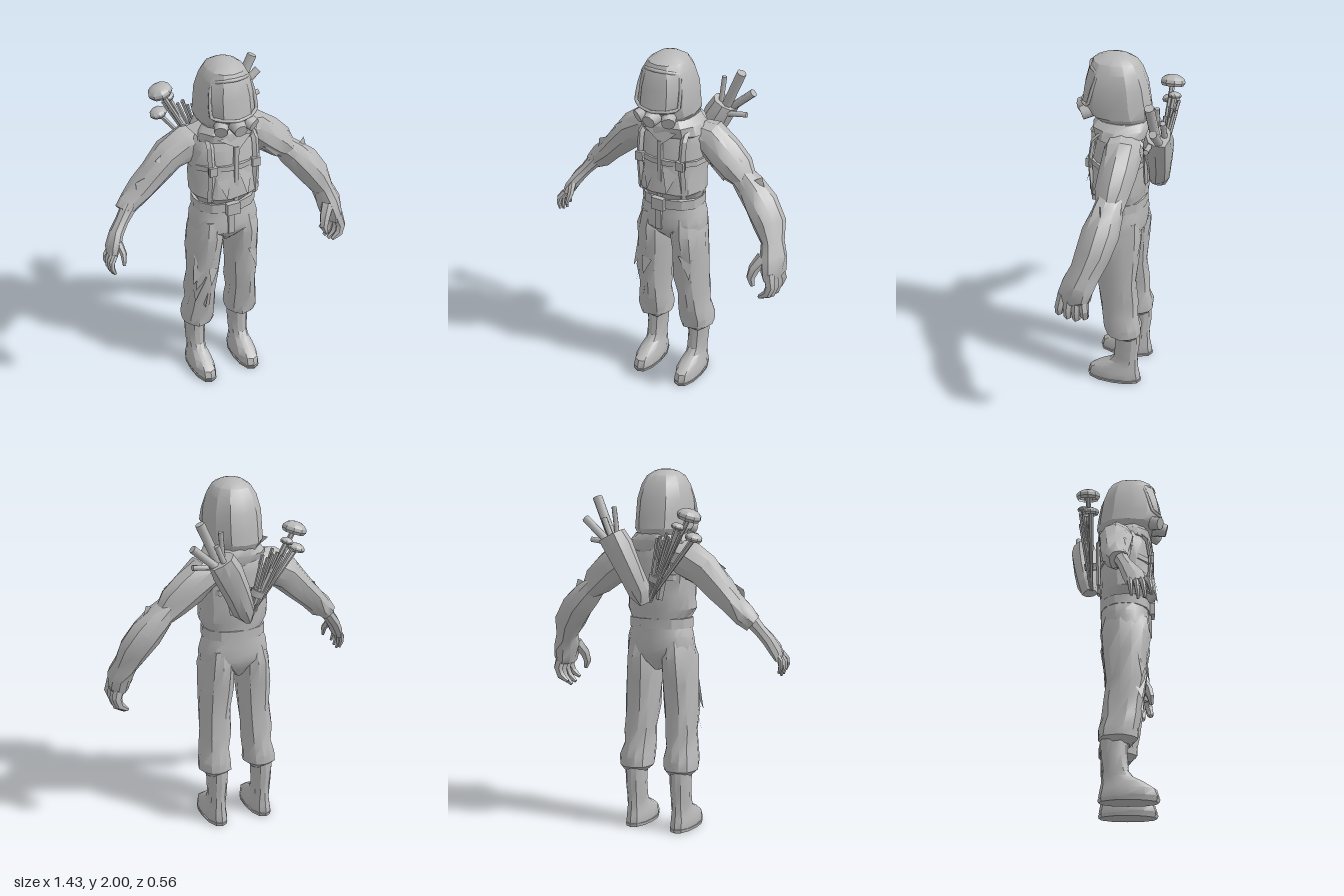
import * as THREE from 'three';
import { toCreasedNormals } from 'three/addons/utils/BufferGeometryUtils.js';

const grey = new THREE.MeshStandardMaterial({ color: 0xb8b8b8, side: THREE.DoubleSide });
grey.name = 'plain grey';
const V = (p) => new THREE.Vector3(...p);

// repeatable small offset for cloth folds
const noise = (i, j) => {
  const s = Math.sin(i * 12.99 + j * 78.23) * 43758.5;
  return (s - Math.floor(s)) * 2 - 1;
};

// skin through cross-sections [x, y, z, a, b]; b runs along the ref axis, a across it
function loft(sections, { sides = 10, flat = false, power = 2, wrinkle = 0, ref = [0, 0, 1] } = {}) {
  const pos = [], idx = [], n = sections.length;
  const c = sections.map((s) => V(s.slice(0, 3)));
  c.forEach((p, i) => {
    const t = c[Math.min(i + 1, n - 1)].clone().sub(c[Math.max(i - 1, 0)]);
    if (flat) t.set(0, Math.sign(t.y), 0);
    t.normalize();
    const u = V(ref).addScaledVector(t, -V(ref).dot(t)).normalize();
    const v = t.clone().cross(u);
    for (let j = 0; j < sides; j++) {
      const q = (j / sides) * Math.PI * 2, cs = Math.cos(q), sn = Math.sin(q);
      const k = 1 / Math.pow(Math.abs(cs) ** power + Math.abs(sn) ** power, 1 / power);
      const w = wrinkle * noise(i, j);
      const r = p.clone().addScaledVector(v, cs * k * (sections[i][3] + w)).addScaledVector(u, sn * k * (sections[i][4] + w));
      pos.push(r.x, r.y, r.z);
    }
  });
  for (let i = 0; i < n - 1; i++) for (let j = 0; j < sides; j++) {
    const a = i * sides + j, b = i * sides + ((j + 1) % sides);
    idx.push(a, a + sides, b, b, a + sides, b + sides);
  }
  pos.push(...c[0].toArray(), ...c[n - 1].toArray());
  for (let j = 0; j < sides; j++) {
    const k = (j + 1) % sides, e = (n - 1) * sides;
    idx.push(n * sides, j, k, n * sides + 1, e + k, e + j);
  }
  const g = new THREE.BufferGeometry();
  g.setAttribute('position', new THREE.Float32BufferAttribute(pos, 3));
  g.setIndex(idx);
  return toCreasedNormals(g, 0.5);
}

// level rings given as [y, centre x, back z, front z, half width]
const rings = (rows, opts) =>
  loft(rows.map(([y, x, z0, z1, w]) => [x, y, (z0 + z1) / 2, w, (z1 - z0) / 2]), { flat: true, power: 2.3, sides: 14, ...opts });

// rod between two points
function rod(a, b, r0, r1 = r0, sides = 7) {
  const d = V(b).sub(V(a));
  const g = new THREE.CylinderGeometry(r1, r0, d.length(), sides);
  g.applyQuaternion(new THREE.Quaternion().setFromUnitVectors(V([0, 1, 0]), d.clone().normalize()));
  g.translate(...V(a).addScaledVector(d, 0.5).toArray());
  return toCreasedNormals(g, 0.9);
}

const box = (w, h, d, x, y, z) => new THREE.BoxGeometry(w, h, d).translate(x, y, z);

// torn scrap of cloth
function flap(a, b, c) {
  const g = new THREE.BufferGeometry();
  g.setAttribute('position', new THREE.Float32BufferAttribute([...a, ...b, ...c], 3));
  g.computeVertexNormals();
  return g;
}

export function createModel() {
  const model = new THREE.Group();
  const add = (name, geo) => {
    const m = new THREE.Mesh(geo, grey);
    m.name = name;
    model.add(m);
  };

  // helmet, visor frame and breathing mask
  add('helmet', rings([[1.62, -0.01, -0.1, 0.14, 0.11], [1.68, -0.01, -0.128, 0.22, 0.148], [1.74, -0.01, -0.122, 0.252, 0.15],
    [1.84, -0.01, -0.105, 0.235, 0.145], [1.92, -0.01, -0.075, 0.213, 0.124], [1.965, -0.01, -0.045, 0.19, 0.098],
    [1.99, -0.01, 0, 0.14, 0.06], [2, -0.01, 0.03, 0.1, 0.03]], { sides: 12 }));
  const frame = [[-0.115, 1.915, 0.14], [-0.07, 1.935, 0.185], [-0.01, 1.94, 0.205], [0.05, 1.935, 0.185], [0.095, 1.915, 0.14],
    [0.115, 1.83, 0.165], [0.118, 1.745, 0.19], [0.06, 1.735, 0.235], [-0.01, 1.73, 0.25], [-0.08, 1.735, 0.235], [-0.138, 1.745, 0.19], [-0.135, 1.83, 0.165]];
  add('visorFrame', new THREE.TubeGeometry(new THREE.CatmullRomCurve3(frame.map(V), true, 'catmullrom', 0.2), 36, 0.01, 5, true));
  add('maskSnout', rod([-0.01, 1.7, 0.2], [-0.01, 1.68, 0.275], 0.05, 0.036, 9));
  for (const s of [-1, 1]) {
    add('maskFilter', rod([-0.01 + s * 0.06, 1.7, 0.17], [-0.01 + s * 0.095, 1.675, 0.235], 0.042, 0.036, 9));
  }

  // jacket
  add('jacket', rings([[1.13, 0, -0.1, 0.16, 0.165], [1.19, 0, -0.1, 0.165, 0.165], [1.24, 0, -0.11, 0.205, 0.192], [1.33, 0, -0.112, 0.195, 0.188],
    [1.42, 0, -0.112, 0.187, 0.194], [1.52, 0, -0.115, 0.17, 0.2], [1.58, 0, -0.112, 0.155, 0.185], [1.63, 0, -0.1, 0.14, 0.14],
    [1.67, 0, -0.08, 0.12, 0.1]], { wrinkle: 0.009, sides: 18 }));
  add('collar', rings([[1.54, 0.01, -0.1, 0.15, 0.13], [1.57, 0.005, -0.12, 0.185, 0.18], [1.62, 0, -0.122, 0.185, 0.168],
    [1.655, -0.005, -0.11, 0.16, 0.135]], { wrinkle: 0.01 }));
  add('collarPoint', flap([-0.1, 1.6, 0.18], [0.1, 1.6, 0.18], [0.02, 1.53, 0.2]));
  add('collarTear', flap([-0.13, 1.68, 0.06], [-0.15, 1.57, 0.1], [-0.22, 1.65, 0.05]));
  add('zipFlap', box(0.025, 0.33, 0.02, 0.005, 1.38, 0.19));

  // belt and harness
  add('belt', rings([[1.135, 0, -0.105, 0.178, 0.177], [1.19, 0, -0.105, 0.178, 0.177]]));
  add('buckle', box(0.075, 0.07, 0.03, -0.01, 1.162, 0.185));
  add('chestStrap', rings([[1.405, 0, -0.118, 0.196, 0.2], [1.435, 0, -0.118, 0.196, 0.2]]));
  for (const s of [-1, 1]) {
    add('shoulderStrap', loft([[s * 0.13, 1.22, 0.16], [s * 0.13, 1.42, 0.178], [s * 0.13, 1.55, 0.158], [s * 0.12, 1.63, 0.08], [s * 0.12, 1.63, -0.03],
      [s * 0.11, 1.54, -0.12], [s * 0.06, 1.3, -0.115]].map((p) => [...p, 0.012, 0.02]), { sides: 4, ref: [1, 0, 0], power: 6 }));
    add('strapClip', box(0.045, 0.05, 0.03, s * 0.125, 1.42, 0.18));
    // creased jacket panels beside the zip
    add('jacketFold', flap([s * 0.02, 1.39, 0.19], [s * 0.11, 1.38, 0.17], [s * 0.06, 1.25, 0.222]));
  }

  // trousers
  add('hips', rings([[0.9, -0.005, -0.045, 0.09, 0.02], [0.95, 0, -0.075, 0.14, 0.1], [1.0, 0, -0.1, 0.172, 0.195], [1.04, 0, -0.104, 0.174, 0.196],
    [1.09, 0, -0.104, 0.17, 0.188], [1.15, 0, -0.1, 0.165, 0.168]], { wrinkle: 0.004, sides: 16 }));
  add('fly', box(0.035, 0.14, 0.02, -0.015, 1.07, 0.172));
  for (const [s, o] of [[-1, -0.012], [1, 0.002]]) {
    const name = s < 0 ? 'right' : 'left';
    const x = (d) => s * d + o;
    add(name + 'TrouserLeg', rings([[0.315, x(0.13), -0.085, 0.06, 0.06], [0.345, x(0.13), -0.115, 0.1, 0.088], [0.4, x(0.13), -0.11, 0.102, 0.09],
      [0.47, x(0.124), -0.09, 0.112, 0.082], [0.56, x(0.12), -0.085, 0.13, 0.084], [0.68, x(0.114), -0.078, 0.15, 0.086], [0.84, x(0.105), -0.09, 0.16, 0.094],
      [0.97, x(0.099), -0.1, 0.17, 0.095], [1.07, x(0.09), -0.085, 0.15, 0.08]], { sides: 13, wrinkle: 0.009 }));
    // boots
    const b = s * 0.138 - 0.012;
    add(name + 'Boot', rings([[0, b, -0.105, 0.2, 0.056], [0.03, b, -0.11, 0.21, 0.065], [0.07, b, -0.1, 0.195, 0.062], [0.105, b, -0.095, 0.14, 0.055],
      [0.135, b, -0.092, 0.08, 0.05], [0.17, b, -0.09, 0.052, 0.05], [0.25, b, -0.1, 0.045, 0.055], [0.36, b, -0.1, 0.045, 0.06]], { sides: 12, wrinkle: 0.003 }));
    add(name + 'BootSole', rings([[0, b, -0.108, 0.205, 0.062], [0.018, b, -0.112, 0.212, 0.067]], { sides: 12 }));
  }
  for (const p of [[[-0.2, 0.88, 0.09], [-0.11, 0.84, 0.16], [-0.22, 0.67, 0.12]], [[-0.2, 0.75, 0.03], [-0.15, 0.72, 0.15], [-0.21, 0.55, 0.12]],
    [[-0.14, 0.78, 0.155], [-0.08, 0.76, 0.15], [-0.13, 0.66, 0.165]], [[0.1, 0.85, 0.162], [0.17, 0.83, 0.13], [0.16, 0.7, 0.145]],
    [[-0.2, 0.58, 0.02], [-0.13, 0.62, 0.13], [-0.15, 0.5, 0.13]]]) add('trouserTear', flap(...p));

  // arms: the left one is swollen
  add('rightSleeve', loft([[-0.09, 1.54, 0, 0.09, 0.095], [-0.19, 1.515, -0.015, 0.1, 0.102], [-0.29, 1.46, -0.02, 0.09, 0.095],
    [-0.38, 1.37, -0.022, 0.078, 0.085], [-0.45, 1.295, -0.02, 0.072, 0.08], [-0.52, 1.23, -0.018, 0.062, 0.07], [-0.565, 1.19, -0.002, 0.05, 0.055]], { wrinkle: 0.009 }));
  add('rightForearm', loft([[-0.53, 1.225, 0, 0.045, 0.045], [-0.59, 1.15, 0.025, 0.035, 0.04], [-0.63, 1.1, 0.045, 0.036, 0.048],
    [-0.665, 1.04, 0.075, 0.032, 0.064], [-0.68, 1.0, 0.09, 0.022, 0.06]], { sides: 8 }));
  add('leftSleeve', loft([[0.09, 1.54, 0, 0.09, 0.095], [0.19, 1.52, -0.015, 0.1, 0.105], [0.28, 1.45, -0.018, 0.095, 0.1],
    [0.36, 1.38, -0.015, 0.088, 0.09], [0.42, 1.325, -0.01, 0.062, 0.07]], { wrinkle: 0.01 }));
  add('leftForearm', loft([[0.36, 1.385, -0.01, 0.06, 0.065], [0.44, 1.305, -0.005, 0.074, 0.085], [0.515, 1.225, 0.005, 0.084, 0.1],
    [0.58, 1.13, 0.025, 0.082, 0.092], [0.62, 1.05, 0.06, 0.064, 0.08], [0.64, 0.98, 0.09, 0.068, 0.09], [0.655, 0.91, 0.112, 0.058, 0.092],
    [0.655, 0.875, 0.115, 0.04, 0.078]], { wrinkle: 0.009 }));
  for (const p of [[[0.26, 1.56, 0.02], [0.32, 1.44, 0.06], [0.41, 1.45, 0.02]], [[0.3, 1.5, -0.07], [0.36, 1.38, -0.06], [0.43, 1.4, -0.05]],
    [[0.46, 1.35, 0.03], [0.55, 1.26, 0.0], [0.515, 1.38, 0.0]], [[0.22, 1.43, 0.07], [0.33, 1.37, 0.07], [0.32, 1.33, 0.06]],
    [[-0.29, 1.54, 0.02], [-0.34, 1.45, 0.06], [-0.39, 1.47, 0.03]], [[-0.42, 1.4, 0.04], [-0.5, 1.31, 0.03], [-0.5, 1.36, 0.02]],
    [[-0.24, 1.57, -0.06], [-0.32, 1.5, -0.09], [-0.36, 1.51, -0.05]]]) add('sleeveTear', flap(...p));

  // fingers fan out along z and curl inward
  for (let i = 0; i < 4; i++) {
    const k = i - 1.5, l = [0.9, 1.05, 1, 0.85][i];
    add('leftFinger', loft([[0.66, 0.92, 0.112 + k * 0.038, 0.034, 0.026], [0.68, 0.91 - 0.07 * l, 0.115 + k * 0.045, 0.029, 0.025],
      [0.665, 0.91 - 0.12 * l, 0.12 + k * 0.047, 0.025, 0.021], [0.62, 0.91 - 0.155 * l, 0.122 + k * 0.047, 0.011, 0.011]], { sides: 6 }));
    add('rightFinger', loft([[-0.675, 1.02, 0.09 + k * 0.028, 0.018, 0.016], [-0.7, 1.02 - 0.04 * l, 0.1 + k * 0.032, 0.017, 0.015],
      [-0.702, 1.02 - 0.075 * l, 0.105 + k * 0.034, 0.014, 0.013], [-0.69, 1.02 - 0.115 * l, 0.11 + k * 0.034, 0.008, 0.008]], { sides: 6 }));
  }
  add('leftThumb', loft([[0.61, 0.99, 0.14, 0.038, 0.034], [0.575, 0.93, 0.175, 0.031, 0.03], [0.565, 0.88, 0.19, 0.025, 0.023], [0.58, 0.835, 0.195, 0.012, 0.012]], { sides: 6 }));
  add('rightThumb', loft([[-0.64, 1.07, 0.1, 0.022, 0.022], [-0.63, 1.02, 0.14, 0.018, 0.018], [-0.64, 0.965, 0.17, 0.009, 0.009]], { sides: 6 }));

  // bag on the back holding thick rods
  add('backBag', loft([[0.0, 1.28, -0.165, 0.035, 0.04], [0.025, 1.34, -0.175, 0.06, 0.062], [0.08, 1.46, -0.19, 0.07, 0.072],
    [0.14, 1.58, -0.202, 0.082, 0.078], [0.175, 1.65, -0.208, 0.078, 0.07]], { sides: 9, wrinkle: 0.008 }));
  for (const [a, b, r] of [[[0.16, 1.58, -0.2], [0.28, 1.85, -0.185], 0.027], [[0.18, 1.6, -0.22], [0.335, 1.735, -0.22], 0.022],
    [[0.15, 1.6, -0.19], [0.17, 1.8, -0.2], 0.014], [[0.18, 1.6, -0.17], [0.32, 1.62, -0.18], 0.015], [[0.15, 1.6, -0.24], [0.21, 1.74, -0.24], 0.016]]) {
    add('carriedRod', rod(a, b, r));
  }

  // bundle of thin stems with round caps
  for (let i = 0; i < 9; i++) {
    add('thinStem', rod([-0.01 - 0.008 * (i % 3), 1.29, -0.15 - 0.012 * (i % 2)],
      [-0.08 - 0.019 * i, 1.65 + 0.03 * noise(i, 3), -0.18 - 0.02 * (i % 3)], 0.007, 0.01, 5));
  }
  for (const [x, y, z, r] of [[-0.265, 1.755, -0.175, 0.068], [-0.285, 1.64, -0.16, 0.048], [-0.21, 1.7, -0.2, 0.036]]) {
    add('capStem', rod([-0.03, 1.31, -0.155], [x, y, z], 0.009, 0.015, 6));
    const cap = new THREE.SphereGeometry(r, 9, 5, 0, Math.PI * 2, 0, 2.1).scale(1, 0.6, 1).rotateZ(0.3).translate(x, y, z);
    add('roundCap', toCreasedNormals(cap, 0.5));
  }
  add('bundleTie', rod([-0.05, 1.4, -0.158], [-0.065, 1.435, -0.16], 0.035, 0.04, 8));

  return model;
}
